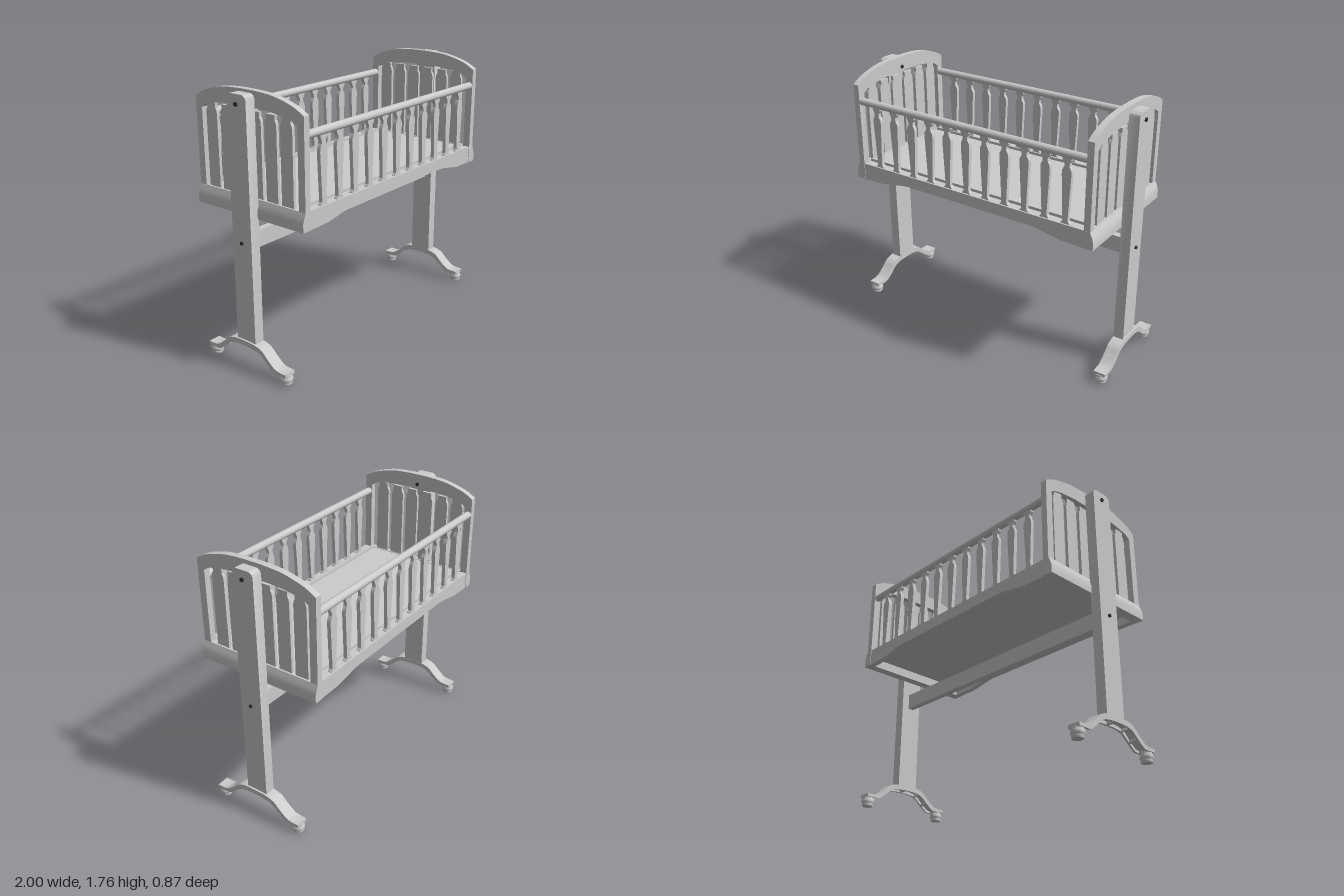
import * as THREE from 'three';
import { toCreasedNormals } from 'three/addons/utils/BufferGeometryUtils.js';

const grey = new THREE.MeshStandardMaterial({ color: 0xcccccc });
const dark = new THREE.MeshStandardMaterial({ color: 0x333333 });

function add(parent, name, geometry, x = 0, y = 0, z = 0, material = grey) {
  const mesh = new THREE.Mesh(geometry, material);
  mesh.name = name;
  mesh.position.set(x, y, z);
  parent.add(mesh);
  return mesh;
}

const toShape = (pts) => new THREE.Shape(pts.map(([a, b]) => new THREE.Vector2(a, b)));
const mirrored = (half) => [...half, ...half.map(([a, b]) => [-a, b]).reverse()];

// Board drawn in the x-y plane, centred through its thickness in z
function board(pts, depth, hole) {
  const shape = toShape(pts);
  if (hole) shape.holes.push(toShape(hole));
  const g = new THREE.ExtrudeGeometry(shape, { depth, bevelEnabled: false });
  return toCreasedNormals(g.translate(0, 0, -depth / 2), 0.5);
}

// Same board, turned so the drawing lies in the z-y plane
const sideBoard = (pts, depth, hole) => board(pts, depth, hole).rotateY(-Math.PI / 2);

const rod = (r, length) => new THREE.CylinderGeometry(r, r, length, 20).rotateZ(Math.PI / 2);

// Smooth symmetric curve through points given from the +z end to the middle
function symmetricCurve(half, n) {
  const all = [...half, ...half.slice(0, -1).map(([a, b]) => [-a, b]).reverse()];
  return new THREE.SplineCurve(all.map(([a, b]) => new THREE.Vector2(a, b)))
    .getPoints(n).map((p) => [p.x, p.y]);
}

// Arched foot: channel with open underside, cross ribs and two round glides
function makeFoot() {
  const foot = new THREE.Group();
  foot.name = 'foot';
  const top = symmetricCurve([[0.335, 0.082], [0.285, 0.083], [0.245, 0.093], [0.19, 0.135],
    [0.145, 0.175], [0.085, 0.194], [0, 0.198]], 60);
  const under = symmetricCurve([[0.335, 0.06], [0.28, 0.06], [0.235, 0.064], [0.18, 0.105],
    [0.13, 0.145], [0.075, 0.16], [0, 0.163]], 60);
  const skin = top.map(([z, y], i) => [z + (under[i][0] - z) * 0.4, y + (under[i][1] - y) * 0.4]);
  add(foot, 'footTop', sideBoard([...top, ...skin.reverse()], 0.083));
  const wall = [...top, ...[...under].reverse()];
  for (const s of [-1, 1]) add(foot, 'footWall', sideBoard(wall, 0.014), s * 0.0345);
  for (const i of [14, 21, 30, 39, 46]) {
    const rib = [top[i], top[i + 1], under[i + 1], under[i]];
    add(foot, 'footRib', sideBoard(rib, 0.08));
  }
  const glide = [[0, 0], [0.034, 0], [0.038, 0.012], [0.036, 0.018], [0.042, 0.026],
    [0.042, 0.042], [0.035, 0.052], [0.035, 0.066], [0, 0.066]].map(([r, y]) => new THREE.Vector2(r, y));
  for (const s of [-1, 1]) {
    add(foot, 'footEnd', new THREE.BoxGeometry(0.08, 0.018, 0.06), 0, 0.07, s * 0.304);
    add(foot, 'glide', toCreasedNormals(new THREE.LatheGeometry(glide, 28), 0.7), 0, 0, s * 0.305);
  }
  return foot;
}

// Post, foot and bolts of one end of the stand
function makeStandEnd(s) {
  const end = new THREE.Group();
  end.name = s > 0 ? 'leftStandEnd' : 'rightStandEnd';
  const outline = mirrored([[0.077, 0.19], [0.077, 1.72], [0.07, 1.735], [0.05, 1.748]]);
  add(end, 'post', sideBoard(outline, 0.07), s * 0.952);
  const foot = makeFoot();
  foot.position.x = s * 0.958;
  end.add(foot);
  add(end, 'pivotBolt', rod(0.013, 0.142), s * 0.925, 1.69, 0, dark);
  add(end, 'stretcherBolt', rod(0.011, 0.03), s * 0.982, 0.848, 0, dark);
  return end;
}

// Arched end panel with slats and a flared bottom board
function makeEndPanel(s) {
  const panel = new THREE.Group();
  panel.name = s > 0 ? 'leftEndPanel' : 'rightEndPanel';
  const arch = symmetricCurve([[0.435, 1.67], [0.355, 1.712], [0.215, 1.749], [0.085, 1.76], [0, 1.761]], 32);
  const inner = symmetricCurve([[0.385, 1.605], [0.337, 1.632], [0.215, 1.654], [0.1, 1.66], [0, 1.661]], 32);
  add(panel, 'endFrame', sideBoard([[0.435, 1.0], ...arch, [-0.435, 1.0]], 0.043,
    [[0.385, 1.115], ...inner, [-0.385, 1.115]]), s * 0.878);
  const flare = [[0.857, 1.0], [0.922, 1.0], [0.922, 1.055], [0.912, 1.085], [0.899, 1.115], [0.857, 1.115]]
    .map(([x, y]) => [s * x, y]);
  add(panel, 'endBoard', board(flare, 0.872));
  const slat = mirrored([[0.046, 1.1], [0.046, 1.575], [0.043, 1.595], [0.034, 1.61], [0.034, 1.64]]);
  for (let i = 0; i < 6; i++) add(panel, 'endSlat', sideBoard(slat, 0.02), s * 0.878, 0, -0.012 + (i - 2.5) * 0.121);
  return panel;
}

// Long side: shaped apron, flat-sawn spindles and round top rail
function makeSide(s) {
  const side = new THREE.Group();
  side.name = s > 0 ? 'frontSide' : 'backSide';
  const apron = mirrored([[0.86, 1.115], [0.86, 1.0], [0.7, 1.003], [0.66, 1.01], [0.52, 1.035], [0.48, 1.038]]);
  add(side, 'apron', board(apron, 0.042), 0, 0, s * 0.412);
  add(side, 'topRail', rod(0.025, 1.72), 0, 1.555, s * 0.41);
  const spindle = mirrored([[0.031, 1.11], [0.031, 1.118], [0.02, 1.132], [0.018, 1.15], [0.032, 1.43],
    [0.031, 1.455], [0.017, 1.48], [0.017, 1.5], [0.03, 1.52], [0.03, 1.54]]);
  for (let i = 0; i < 11; i++) add(side, 'spindle', board(spindle, 0.025), (i - 5) * 0.1445, 0, s * 0.41);
  // Raised lip along the floor
  add(side, 'floorLip', new THREE.BoxGeometry(1.715, 0.025, 0.012), 0, 1.118, s * 0.362);
  return side;
}

export function createModel() {
  const model = new THREE.Group();
  model.name = 'swingingCradle';

  const stand = new THREE.Group();
  stand.name = 'stand';
  model.add(stand);
  add(stand, 'stretcher', new THREE.BoxGeometry(1.85, 0.108, 0.045), 0, 0.845, 0);

  const cradle = new THREE.Group();
  cradle.name = 'cradle';
  cradle.position.x = -0.004;
  model.add(cradle);
  add(cradle, 'floor', new THREE.BoxGeometry(1.72, 0.052, 0.79), 0, 1.086, 0);

  for (const s of [-1, 1]) {
    stand.add(makeStandEnd(s));
    cradle.add(makeEndPanel(s), makeSide(s));
  }
  return model;
}
